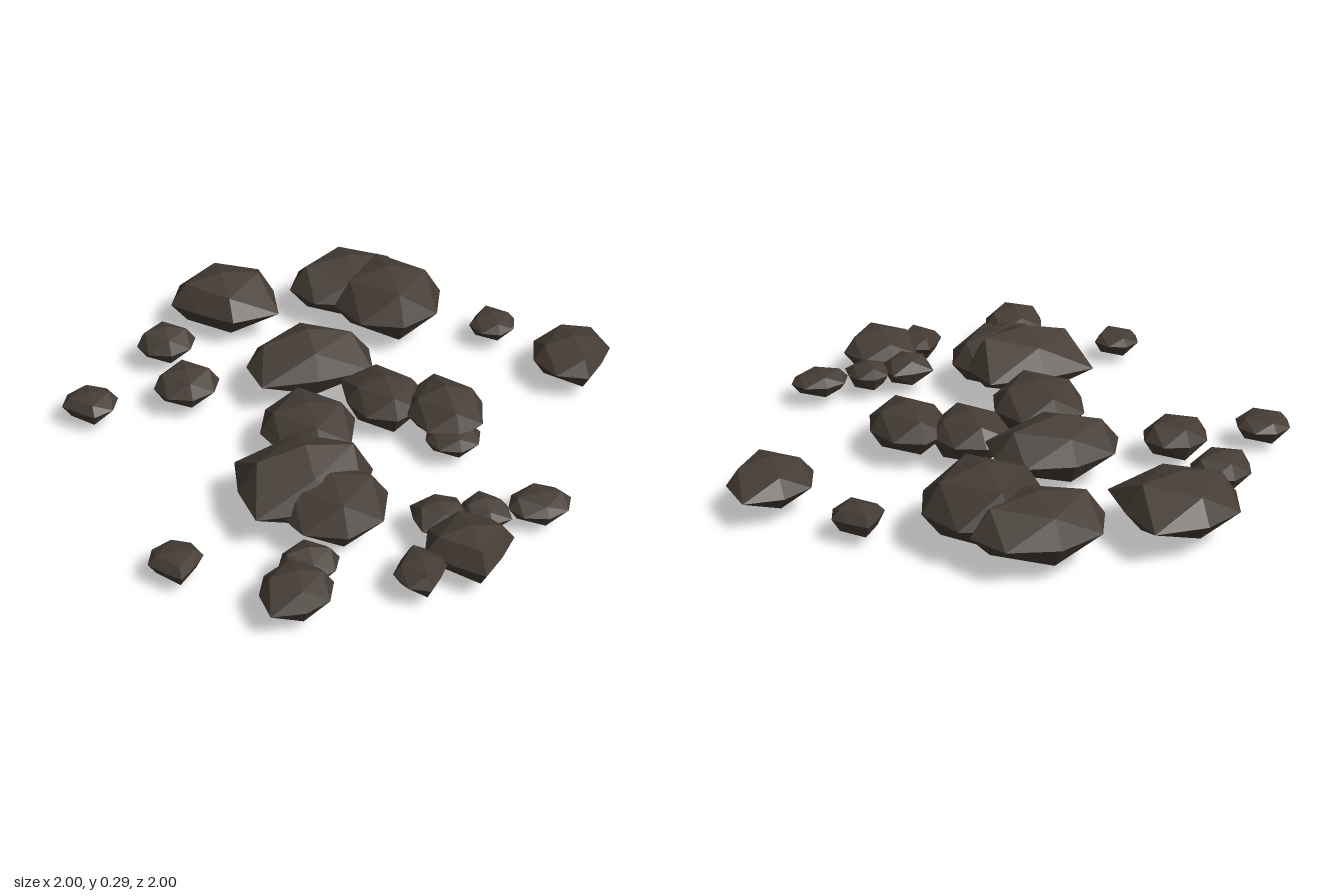
import * as THREE from 'three';

// name, centre x, centre z, half width, half depth, top height, shape traits:
// full / slim list the corners that bulge or taper (F/B front/back, R/L right/left)
const ROCKS = [
  // back group
  ['backLeftBoulder', -0.31, -0.81, 0.2, 0.19, 0.24, { full: 'FR BR', slim: 'FL' }],
  ['backRightBoulder', 0.18, -0.79, 0.23, 0.18, 0.25, {}],
  ['peakedBoulder', 0.29, -0.61, 0.21, 0.22, 0.29, { slim: 'BL' }],
  ['backLeftStone', -0.57, -0.6, 0.11, 0.1, 0.17, {}],
  ['midLeftStone', -0.55, -0.31, 0.12, 0.11, 0.17, {}],
  ['farLeftStone', -0.9, -0.31, 0.1, 0.1, 0.13, { slim: 'FL' }],
  ['rightPebble', 0.65, -0.43, 0.09, 0.1, 0.13, { slim: 'BL BR' }],
  ['farRightBoulder', 0.85, -0.11, 0.15, 0.17, 0.19, { full: 'BR', slim: 'FR' }],
  // middle group
  ['centreBoulder', -0.1, -0.31, 0.23, 0.16, 0.26, { full: 'FR FL' }],
  ['centreRightRock', 0.11, -0.03, 0.14, 0.16, 0.2, { full: 'BL', deep: true }],
  ['rightRock', 0.29, 0.1, 0.14, 0.18, 0.21, {}],
  ['rightRockChip', 0.28, 0.23, 0.1, 0.1, 0.13, {}],
  ['centreLeftRock', -0.2, 0.08, 0.17, 0.19, 0.22, {}],
  ['centreLeftChip', -0.21, -0.07, 0.08, 0.06, 0.14, {}],
  // front group
  ['frontLeftBoulder', -0.29, 0.41, 0.23, 0.18, 0.29, { full: 'BL BR FL' }],
  ['frontBoulder', -0.23, 0.52, 0.19, 0.2, 0.24, {}],
  ['frontLeftChip', -0.37, 0.76, 0.1, 0.09, 0.16, {}],
  ['frontLeftRock', -0.44, 0.88, 0.12, 0.12, 0.18, { full: 'FL' }],
  ['farLeftPebble', -0.77, 0.62, 0.09, 0.1, 0.12, { slim: 'FR FL' }],
  ['squareStone', 0.1, 0.64, 0.09, 0.08, 0.15, { full: 'FR FL BR BL' }],
  ['frontRightChip', 0.25, 0.65, 0.08, 0.08, 0.14, { full: 'FR' }],
  ['frontRightStone', 0.44, 0.66, 0.11, 0.09, 0.13, {}],
  ['frontRock', 0.14, 0.83, 0.15, 0.16, 0.19, { slim: 'FR FL' }],
  ['frontPebble', -0.04, 0.88, 0.09, 0.11, 0.14, { slim: 'FR BL' }],
];

// repeatable variation in 0..1
const vary = (seed) => {
  const s = Math.sin(seed * 12.9898) * 43758.5453;
  return s - Math.floor(s);
};

// once-subdivided octahedron with shaped corners and uneven shoulders
function rockGeometry(halfWidth, halfDepth, top, { full = '', slim = '', deep = false }, seed) {
  const bottom = deep ? 0 : 0.025;
  const girth = 0.04 + 0.36 * top;
  const geometry = new THREE.OctahedronGeometry(1, 1);
  const position = geometry.attributes.position;
  for (let i = 0; i < position.count; i++) {
    let x = position.getX(i), y = position.getY(i), z = position.getZ(i);
    const alongX = Math.abs(x) > 0.1, alongZ = Math.abs(z) > 0.1;
    if (alongX && alongZ) {
      const corner = (z > 0 ? 'F' : 'B') + (x > 0 ? 'R' : 'L');
      const k = full.includes(corner) ? 1.27 : slim.includes(corner) ? 0.75 : 1;
      x *= k;
      z *= k;
    } else if (Math.abs(y) > 0.1 && Math.abs(y) < 0.9) {
      const side = alongX ? Math.sign(x) : 2 * Math.sign(z);
      y *= 0.9 + 0.25 * vary(seed * 7 + side + 3 * Math.sign(y));
    }
    position.setXYZ(i,
      x * halfWidth,
      girth + y * (y > 0 ? top - girth : girth - bottom),
      z * halfDepth);
  }
  geometry.computeVertexNormals();
  return geometry;
}

export function createModel() {
  const group = new THREE.Group();
  group.name = 'rockScatter';
  const stone = new THREE.MeshStandardMaterial({ color: 0x443b34 });
  stone.name = 'darkStone';
  ROCKS.forEach(([name, x, z, halfWidth, halfDepth, top, traits], i) => {
    const rock = new THREE.Mesh(rockGeometry(halfWidth, halfDepth, top, traits, i + 1), stone);
    rock.name = name;
    rock.position.set(x, 0, z);
    group.add(rock);
  });
  return group;
}
